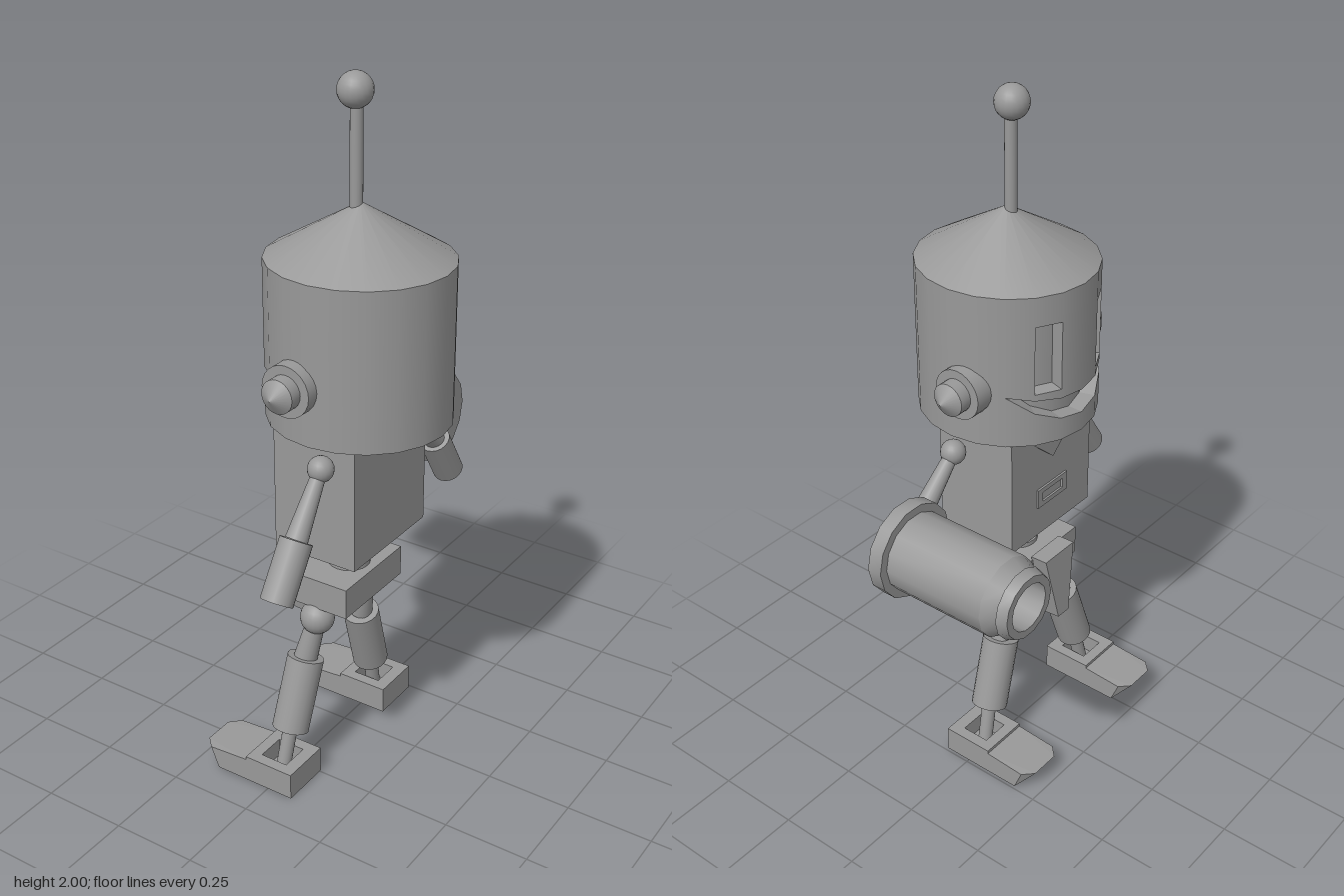
import * as THREE from 'three';
import { mergeGeometries, toCreasedNormals } from 'three/addons/utils/BufferGeometryUtils.js';
import { ConvexGeometry } from 'three/addons/geometries/ConvexGeometry.js';

const V = (x, y, z) => new THREE.Vector3(x, y, z);
const MID = 0.077; // z of the robot's own centre plane; it looks along -x

export function createModel() {
  const root = new THREE.Group();
  const metal = new THREE.MeshStandardMaterial({ color: 0x999999 });
  metal.name = 'grey metal';
  metal.side = THREE.DoubleSide;

  const add = (name, geo, x = 0, y = 0, z = 0, parent = root) => {
    const m = new THREE.Mesh(geo, metal);
    m.name = name;
    m.position.set(x, y, z);
    parent.add(m);
    return m;
  };
  const box = (name, x0, x1, y0, y1, z0, z1) =>
    add(name, new THREE.BoxGeometry(x1 - x0, y1 - y0, z1 - z0), (x0 + x1) / 2, (y0 + y1) / 2, (z0 + z1) / 2);
  const ball = (name, r, p) => add(name, new THREE.SphereGeometry(r, 20, 14), p.x, p.y, p.z);
  // cylinder between two points, r0 at a and r1 at b
  const rod = (name, a, b, r0, r1 = r0, sides = 20) => {
    const d = b.clone().sub(a), c = a.clone().add(b).multiplyScalar(0.5);
    const m = add(name, new THREE.CylinderGeometry(r1, r0, d.length(), sides), c.x, c.y, c.z);
    m.quaternion.setFromUnitVectors(V(0, 1, 0), d.normalize());
    return m;
  };
  const lathe = (pts, sides) => toCreasedNormals(
    new THREE.LatheGeometry(pts.map(p => new THREE.Vector2(...p)), sides), 0.5);

  // --- Head: hollow drum whose wall has openings for eyes and smile
  const head = new THREE.Group();
  head.name = 'head';
  head.position.set(0.097, 0, 0.073);
  head.scale.z = 0.955;
  root.add(head);
  const R = 0.255, RI = 0.21, BOTTOM = 1.083, TOP = 1.525, STEP = 18;
  const curve = (base, rise) => a => base + rise * Math.min(1, (a / 54) ** 2);
  const lowerLip = curve(1.14, 0.095), upperLip = curve(1.21, 0.025);
  const flat = y => () => y;
  const blocks = [];
  const wallBlock = (a0, lo, hi) => {
    const g = new THREE.BoxGeometry(1, 1, 1);
    const p = g.attributes.position, angles = [];
    for (let i = 0; i < p.count; i++) {
      const deg = a0 + (p.getX(i) + 0.5) * STEP, a = deg * Math.PI / 180;
      const r = p.getZ(i) > 0 ? R : RI;
      const y = (p.getY(i) > 0 ? hi : lo)(deg);
      p.setXYZ(i, -r * Math.cos(a), y, r * Math.sin(a));
      angles.push(a);
    }
    g.computeVertexNormals();
    // round shading on the outside face
    for (let i = 16; i < 20; i++) g.attributes.normal.setXYZ(i, -Math.cos(angles[i]), 0, Math.sin(angles[i]));
    blocks.push(g);
  };
  for (let a = -180; a < 180; a += STEP) {
    const mid = Math.abs(a + STEP / 2);
    if (mid > 54) { wallBlock(a, flat(BOTTOM), flat(TOP)); continue; }
    wallBlock(a, flat(BOTTOM), lowerLip);
    if (mid > 18 && mid < 36) {
      wallBlock(a, upperLip, flat(1.24));
      wallBlock(a, flat(1.44), flat(TOP));
    } else wallBlock(a, upperLip, flat(TOP));
  }
  add('headWall', mergeGeometries(blocks), 0, 0, 0, head);
  add('headLining', new THREE.CylinderGeometry(RI - 0.001, RI - 0.001, TOP - BOTTOM, 20, 1, true), 0, (TOP + BOTTOM) / 2, 0, head);
  add('headRoof', new THREE.ConeGeometry(R, 0.147, 20), 0, TOP + 0.0735, 0, head);

  // --- Antenna
  rod('antenna', V(0.087, 1.64, MID), V(0.087, 1.93, MID), 0.017);
  ball('antennaBall', 0.047, V(0.083, 1.953, MID));

  // --- Ears
  for (const s of [1, -1]) {
    const ear = add('ear', lathe([[0.072, 0.18], [0.072, 0.272], [0.047, 0.272], [0.047, 0.308], [0, 0.341]], 24), 0.052, 1.24, MID);
    ear.rotation.x = s * Math.PI / 2;
  }

  // --- Neck and torso
  rod('neck', V(0.075, 1.06, MID), V(0.075, 1.52, MID), 0.021);
  box('torso', -0.055, 0.2, 0.715, 1.07, -0.1, 0.255);
  const collar = new THREE.Shape([[-0.13, 1.07], [0, 0.955], [0.13, 1.07]].map(p => new THREE.Vector2(...p)));
  const frame = new THREE.Shape([[-0.065, 0.81], [0.065, 0.81], [0.065, 0.87], [-0.065, 0.87]].map(p => new THREE.Vector2(...p)));
  frame.holes.push(new THREE.Path([[-0.045, 0.825], [-0.045, 0.855], [0.045, 0.855], [0.045, 0.825]].map(p => new THREE.Vector2(...p))));
  for (const [name, shape] of [['collarPlate', collar], ['chestSlot', frame]]) {
    const plate = add(name, new THREE.ExtrudeGeometry(shape, { depth: 0.006, bevelEnabled: false }), -0.055, 0, MID);
    plate.rotation.y = -Math.PI / 2;
  }

  // --- Waist and pelvis
  rod('waist', V(0.067, 0.6, MID), V(0.067, 0.73, MID), 0.02);
  for (let i = 0; i < 4; i++) {
    const a = i * Math.PI / 2 + Math.PI / 4, x = 0.067 + 0.021 * Math.cos(a), z = MID + 0.021 * Math.sin(a);
    rod('waistStrut', V(x, 0.6, z), V(x, 0.73, z), 0.014, 0.014, 10);
  }
  rod('waistRing', V(0.067, 0.61, MID), V(0.067, 0.633, MID), 0.06);
  box('pelvis', -0.04, 0.15, 0.53, 0.62, -0.065, 0.22);
  const flap = [];
  for (const s of [1, -1]) flap.push(
    V(-0.09, 0.632, MID + s * 0.065), V(-0.036, 0.63, MID + s * 0.065),
    V(-0.107, 0.418, MID + s * 0.024), V(-0.055, 0.413, MID + s * 0.024));
  add('frontFlap', new ConvexGeometry(flap));

  // --- Legs and feet
  for (const s of [1, -1]) {
    const at = (x, y, dz) => V(x, y, MID + s * dz);
    const hip = at(0.043, 0.49, 0.124), knee = at(0.015, 0.357, 0.143);
    const shin = at(0.006, 0.15, 0.211), ankle = at(0, 0.03, 0.24);
    ball('hipBall', 0.049, hip);
    rod('thigh', hip, knee, 0.026, 0.034);
    rod('shin', knee, shin, 0.053);
    rod('ankle', shin, ankle, 0.021);
    // heel block with a square socket
    const z = MID + s * 0.243, w = 0.075;
    box('sole', -0.075, 0.08, 0, 0.025, z - w, z + w);
    const rim = new THREE.Shape([[-0.075, -w], [0.08, -w], [0.08, w], [-0.075, w]].map(p => new THREE.Vector2(...p)));
    rim.holes.push(new THREE.Path([[-0.042, -0.042], [-0.042, 0.042], [0.042, 0.042], [0.042, -0.042]].map(p => new THREE.Vector2(...p))));
    const heel = add('heel', new THREE.ExtrudeGeometry(rim, { depth: 0.055, bevelEnabled: false }), 0, 0.08, z);
    heel.rotation.x = Math.PI / 2;
    const toe = [];
    for (const k of [1, -1]) toe.push(
      V(-0.075, 0, k * w), V(-0.075, 0.07, k * w), V(-0.175, 0, k * w),
      V(-0.2, 0.062, k * w), V(-0.23, 0.062, k * 0.045));
    add('toe', new ConvexGeometry(toe), 0, 0, z);
  }

  // --- Arms
  for (const [shoulder, wrist, end] of [
    [V(0.12, 1.017, 0.292), V(0.12, 0.86, 0.405), V(0.12, 0.72, 0.497)],
    [V(0.12, 1.005, -0.138), V(0.12, 0.86, -0.29), V(0.12, 0.725, -0.375)]]) {
    ball('shoulderBall', 0.036, shoulder);
    rod('arm', shoulder, wrist, 0.019, 0.031);
    rod('hand', wrist, end, 0.045);
  }

  // --- Cannon beside the right hand, muzzle towards -x
  const cannon = add('cannon', lathe([
    [0, -0.07], [0.137, -0.07], [0.137, -0.027], [0.113, -0.027], [0.113, 0.283], [0.089, 0.322],
    [0.1, 0.326], [0.09, 0.355], [0.068, 0.355], [0.068, 0.2], [0, 0.2]], 14), 0, 0.868, -0.405);
  cannon.rotation.z = Math.PI / 2;

  return root;
}
